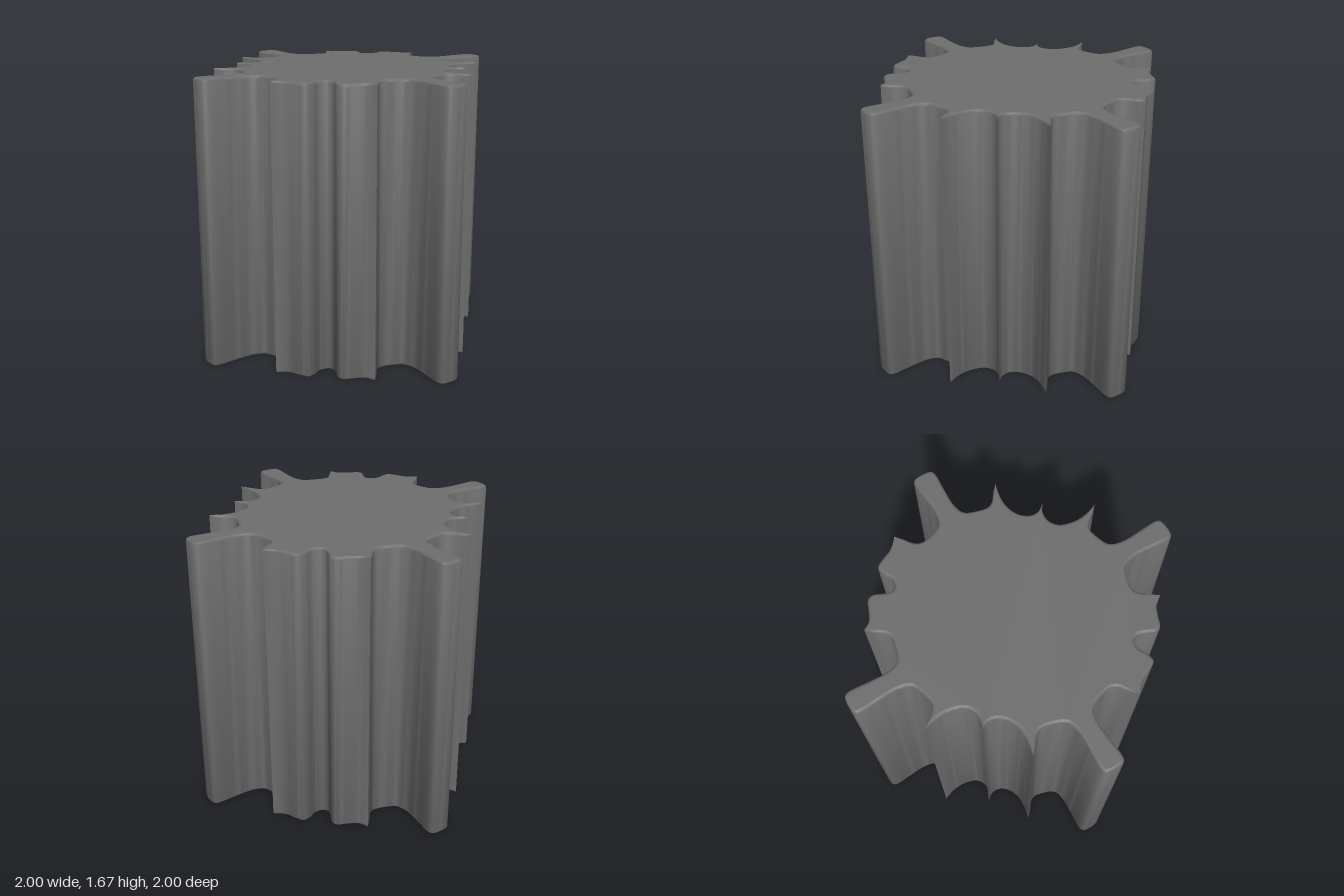
import * as THREE from 'three';
import { toCreasedNormals } from 'three/addons/utils/BufferGeometryUtils.js';

const HEIGHT = 1.67, ROUND = 0.018, STEPS = 4;

// Outline spans as [x, z]; each runs smoothly from one sharp tip to the next.
const finHalf = [[-0.325, -0.73], [-0.29, -0.695], [-0.25, -0.645], [-0.215, -0.626], [-0.13, -0.643],
  [-0.08, -0.67], [-0.058, -0.74], [-0.062, -0.86], [-0.068, -0.96], [-0.058, -0.988], [-0.035, -0.998]];
const fin = [...finHalf, ...finHalf.map(([x, z]) => [-x, z]).reverse()];
const sideFin = fin.map(([x, z]) => [-z, x]);
const notch = [[0.325, -0.73], [0.36, -0.685], [0.42, -0.655], [0.475, -0.63], [0.487, -0.595], [0.467, -0.545],
  [0.452, -0.5], [0.465, -0.468], [0.515, -0.46], [0.565, -0.485], [0.615, -0.492], [0.65, -0.44],
  [0.675, -0.385], [0.73, -0.325]];
const scallopA = [[0.73, 0.325], [0.64, 0.307], [0.56, 0.31], [0.49, 0.345], [0.455, 0.4], [0.46, 0.45], [0.49, 0.49]];
const scallopB = [[0.49, 0.49], [0.45, 0.463], [0.385, 0.457], [0.33, 0.49], [0.302, 0.57], [0.303, 0.645], [0.325, 0.73]];
const spans = [fin, notch, sideFin, scallopA, scallopB];
const tips = spans.map(([[x, z]]) => new THREE.Vector2(x, z));

function makeOutline() {
  const half = spans.flatMap((span) => {
    const curve = new THREE.CatmullRomCurve3(span.map(([x, z]) => new THREE.Vector3(x, 0, z)));
    const pts = curve.getPoints((span.length - 1) * 4).map((p) => new THREE.Vector2(p.x, p.z));
    return pts.slice(0, -1);
  });
  // the second half is the first turned by 180 degrees
  return [...half, ...half.map((p) => p.clone().negate())];
}

// Outline pulled inwards along its averaged normals, fading out towards the sharp tips
function inset(outline, depth) {
  const n = outline.length;
  return outline.map((p, i) => {
    const t = outline[(i + 1) % n].clone().sub(outline[(i + n - 1) % n]).normalize();
    const toTip = Math.min(...tips.map((q) => Math.min(p.distanceTo(q), p.clone().negate().distanceTo(q))));
    const d = depth * Math.min(1, toTip / 0.1);
    return new THREE.Vector2(p.x - t.y * d, p.y + t.x * d);
  });
}

function makeGeometry(positions, index) {
  const g = new THREE.BufferGeometry();
  g.setAttribute('position', new THREE.Float32BufferAttribute(positions, 3));
  g.setIndex(index);
  g.computeVertexNormals();
  return g;
}

export function createModel() {
  const group = new THREE.Group();
  const material = new THREE.MeshStandardMaterial({ color: 0x6e6e6e });
  const outline = makeOutline();
  const n = outline.length;
  const add = (name, geometry) => {
    const mesh = new THREE.Mesh(geometry, material);
    mesh.name = name;
    group.add(mesh);
  };

  // Fluted wall with rounded rims: rings of [inset, y] from bottom to top
  const lower = Array.from({ length: STEPS + 1 }, (_, k) => {
    const a = (k / STEPS) * Math.PI / 2;
    return [ROUND * (1 - Math.sin(a)), ROUND * (1 - Math.cos(a))];
  });
  const rings = [...lower, ...lower.map(([d, y]) => [d, HEIGHT - y]).reverse()];
  const positions = [], index = [];
  rings.forEach(([d, y], r) => {
    inset(outline, d).forEach((p, i) => {
      positions.push(p.x, y, p.y);
      if (r === rings.length - 1) return;
      const a = r * n + i, b = r * n + (i + 1) % n;
      index.push(a, a + n, b, b, a + n, b + n);
    });
  });
  add('flutedWall', toCreasedNormals(makeGeometry(positions, index), 0.8));

  // Flat end faces
  const rim = inset(outline, ROUND);
  const faces = THREE.ShapeUtils.triangulateShape(rim, []);
  const cap = (y) => rim.flatMap((p) => [p.x, y, p.y]);
  add('bottomFace', makeGeometry(cap(0), faces.flat()));
  add('topFace', makeGeometry(cap(HEIGHT), faces.flatMap(([a, b, c]) => [a, c, b])));
  return group;
}
